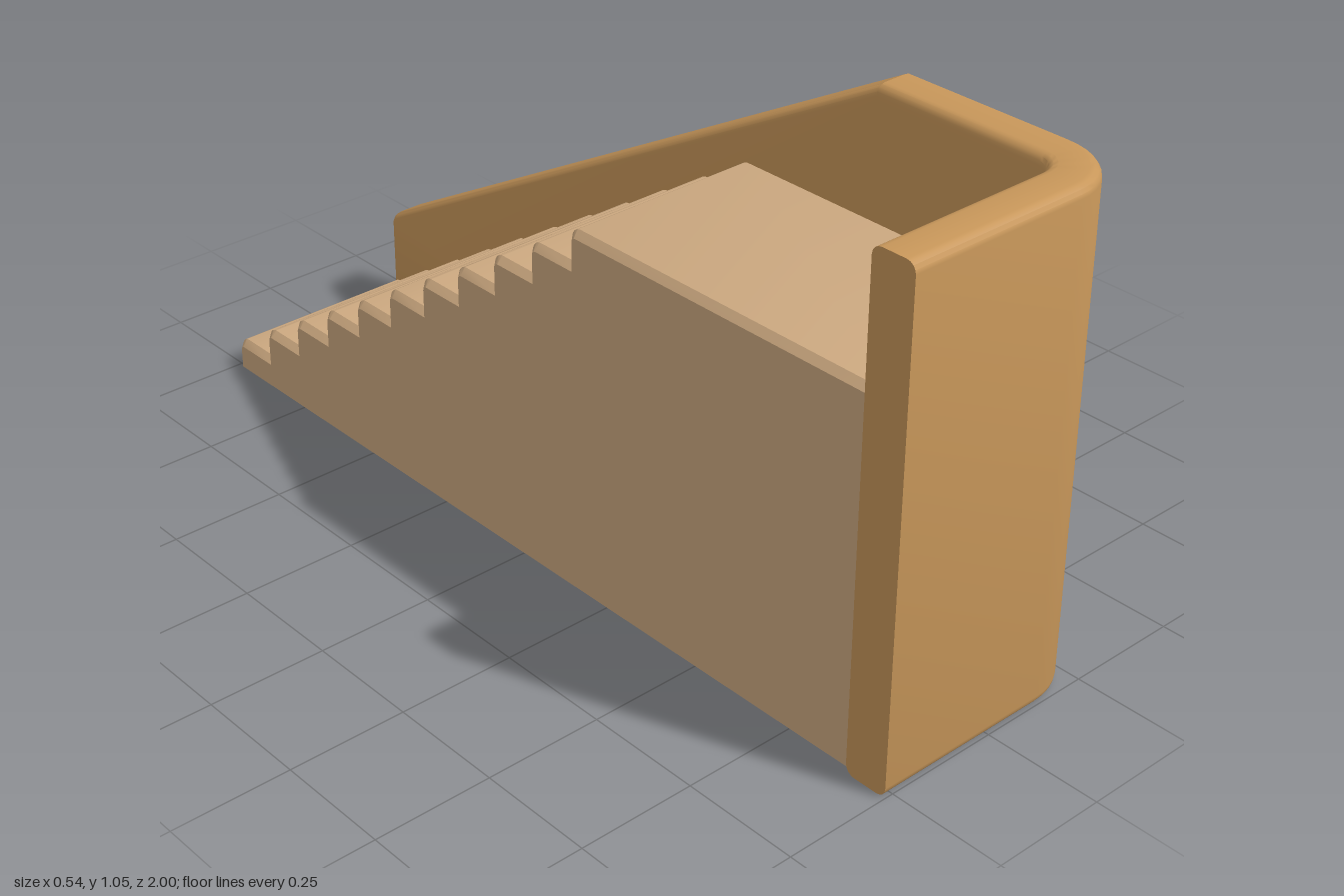
import * as THREE from 'three';
import { toCreasedNormals } from 'three/addons/utils/BufferGeometryUtils.js';

const HEIGHT = 1.055, HALF = 0.0475, ROUND = 0.02;

// Top of the wall: level by the landing, then sloping down to the foot
const wallTop = (z) => (z > 0.49 ? HEIGHT : HEIGHT - ((0.49 - z) * (HEIGHT - 0.23)) / 1.49);

// Rounded rectangle (u across, y up), counter-clockwise, shrunk by inset
function wallSection(top, inset) {
  const r = ROUND - inset + 0.001, w = HALF - inset - r;
  const low = inset + r, high = top - inset - r;
  const corners = [[w, low, -1], [w, high, 0], [-w, high, 1], [-w, low, 2]];
  const points = [];
  for (const [u, y, quarter] of corners) {
    for (let k = 0; k <= 4; k++) {
      const a = (quarter + k / 4) * Math.PI / 2;
      points.push([u + r * Math.cos(a), y + r * Math.sin(a)]);
    }
  }
  return points;
}

// Sweep the section along the L-shaped plan
function wallGeometry() {
  const stations = []; // x, z, angle of the outer side, inset
  const cx = 0.13, cz = 0.86, radius = 0.0925;
  stations.push([-0.27, cz + radius, 0, 0]);
  for (let k = 0; k <= 10; k++) {
    const a = (k / 10) * Math.PI / 2;
    stations.push([cx + radius * Math.sin(a), cz + radius * Math.cos(a), a, 0]);
  }
  stations.push([cx + radius, 0.49, Math.PI / 2, 0]);
  for (let k = 0; k <= 4; k++) {
    const a = (k / 4) * Math.PI / 2;
    stations.push([cx + radius, -1 + ROUND * (1 - Math.sin(a)), Math.PI / 2, ROUND * (1 - Math.cos(a))]);
  }
  const positions = [], index = [];
  let n = 0;
  stations.forEach(([x, z, a, inset], i) => {
    const section = wallSection(wallTop(z), inset);
    n = section.length;
    section.forEach(([u, y], j) => {
      positions.push(x - Math.sin(a) * u, y, z - Math.cos(a) * u);
      if (i === 0) return;
      const p = (i - 1) * n + j, q = (i - 1) * n + ((j + 1) % n);
      index.push(p, q, q + n, p, q + n, p + n);
    });
  });
  const last = (stations.length - 1) * n;
  for (let j = 1; j < n - 1; j++) {
    index.push(0, j + 1, j, last, last + j, last + j + 1);
  }
  const geometry = new THREE.BufferGeometry();
  geometry.setAttribute('position', new THREE.Float32BufferAttribute(positions, 3));
  geometry.setIndex(index);
  return toCreasedNormals(geometry.toNonIndexed(), 0.45);
}

// Stepped side profile with rounded noses, extruded across the flight
function stairGeometry() {
  const steps = 11, rise = 0.785 / steps, run = 0.114, foot = -0.995, nose = 0.024, bevel = 0.014;
  const shape = new THREE.Shape();
  shape.moveTo(0.93, 0);
  shape.lineTo(foot, 0);
  for (let i = 0; i < steps; i++) {
    const z = foot + i * run, y = (i + 1) * rise;
    shape.lineTo(z, y - nose);
    shape.absarc(z + nose, y - nose, nose, Math.PI, Math.PI / 2, true);
    shape.lineTo(i === steps - 1 ? 0.93 : z + run, y);
  }
  const geometry = new THREE.ExtrudeGeometry(shape, {
    depth: 0.46 - 2 * bevel, bevelThickness: bevel, bevelSize: bevel,
    bevelOffset: -bevel, bevelSegments: 1, curveSegments: 5,
  });
  geometry.rotateY(-Math.PI / 2);
  geometry.translate(0.2 - bevel, 0, 0);
  // Flatten the underside, just above the wall's foot
  const p = geometry.attributes.position;
  for (let i = 0; i < p.count; i++) {
    if (p.getY(i) < bevel + 0.001) p.setY(i, 0.004);
  }
  return toCreasedNormals(geometry, 0.5);
}

export function createModel() {
  const wallColour = new THREE.MeshStandardMaterial({ color: 0xc8975a });
  wallColour.name = 'warm tan';
  const stairColour = new THREE.MeshStandardMaterial({ color: 0xcfab82 });
  stairColour.name = 'pale tan';

  const model = new THREE.Group();
  model.name = 'staircase';

  const wall = new THREE.Mesh(wallGeometry(), wallColour);
  wall.name = 'sideWall';
  const stairs = new THREE.Mesh(stairGeometry(), stairColour);
  stairs.name = 'stepsAndLanding';
  model.add(wall, stairs);
  return model;
}
